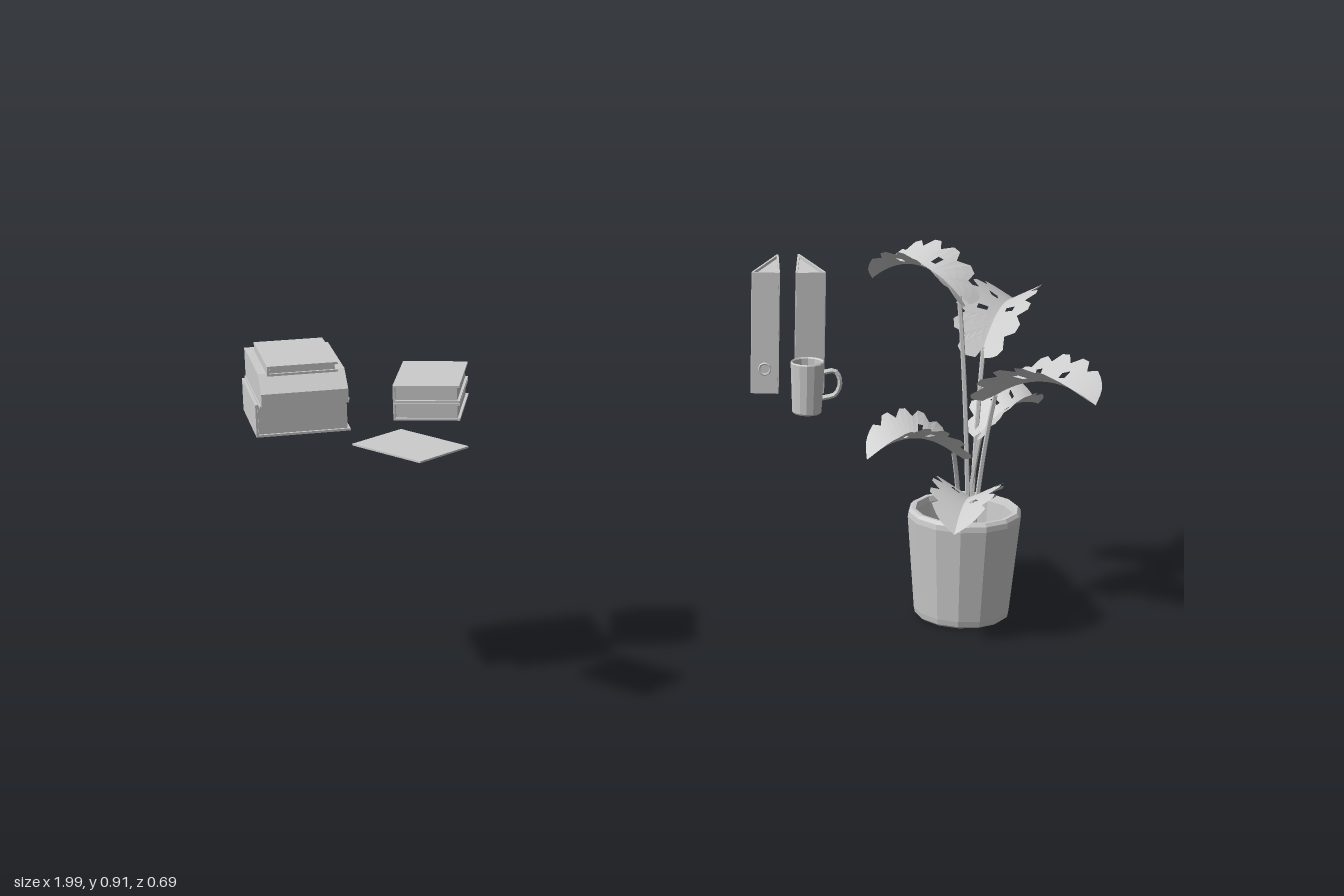
import * as THREE from 'three';

const V = (x, y, z) => new THREE.Vector3(x, y, z);
const grey = new THREE.MeshStandardMaterial({ color: 0xcccccc, flatShading: true });
const thin = new THREE.MeshStandardMaterial({ color: 0xcccccc, flatShading: true, side: THREE.DoubleSide });

function add(parent, name, geometry, pos = [0, 0, 0], material = grey) {
  const m = new THREE.Mesh(geometry, material);
  m.name = name;
  m.position.set(...pos);
  parent.add(m);
  return m;
}

function group(parent, name, pos = [0, 0, 0], turn = 0) {
  const g = new THREE.Group();
  g.name = name;
  g.position.set(...pos);
  g.rotation.y = turn;
  parent.add(g);
  return g;
}

const box = (parent, name, w, h, d, pos) => add(parent, name, new THREE.BoxGeometry(w, h, d), pos);

// Split leaf: folded along an arched midrib, slits in both sides and a few holes
function leafGeometry(base, tip, arch, halfWidth) {
  const rows = 24, cols = 4;
  const outline = new THREE.SplineCurve([
    [-0.1, 0.12], [-0.12, 0.55], [0.06, 0.9], [0.3, 1], [0.55, 0.97],
    [0.78, 0.85], [0.94, 0.5], [1, 0],
  ].map(p => new THREE.Vector2(...p)));
  const ctrl = base.clone().add(tip).multiplyScalar(0.5);
  ctrl.y += arch;
  const side = V(tip.z - base.z, 0, base.x - tip.x).normalize();
  const place = (s, v) => {
    const p = base.clone().multiplyScalar((1 - s) ** 2)
      .addScaledVector(ctrl, 2 * s * (1 - s)).addScaledVector(tip, s * s);
    p.addScaledVector(side, v * halfWidth * 0.92);
    p.y += Math.abs(v) * halfWidth * 0.5;
    return p;
  };
  const positions = [], index = [];
  for (const sign of [-1, 1]) {
    const first = positions.length / 3;
    for (let r = 0; r <= rows; r++) {
      const t = r / rows, e = outline.getPoint(t);
      const slit = r > 3 && r < 18 && r % 3 === 2 ? 0.74 : 1;
      for (let c = 0; c <= cols; c++) {
        const u = c / cols * slit;
        positions.push(...place(t + (e.x - t) * u, sign * e.y * u).toArray());
      }
    }
    for (let r = 0; r < rows; r++) for (let c = 0; c < cols; c++) {
      if (c === 1 && (r === 9 || (sign > 0 && r === 14))) continue;
      const a = first + r * (cols + 1) + c, b = a + cols + 1;
      if (sign > 0) index.push(a, a + 1, b, a + 1, b + 1, b);
      else index.push(a, b, a + 1, a + 1, b, b + 1);
    }
  }
  const g = new THREE.BufferGeometry();
  g.setAttribute('position', new THREE.Float32BufferAttribute(positions, 3));
  g.setIndex(index);
  g.computeVertexNormals();
  return g;
}

function pottedPlant(parent) {
  const cx = 0.72, cz = -0.04;
  const plant = group(parent, 'pottedPlant');
  const profile = [[0, 0], [0.108, 0], [0.116, 0.006], [0.119, 0.02], [0.14, 0.255], [0.138, 0.268],
    [0.131, 0.276], [0.121, 0.275], [0.116, 0.262], [0.111, 0.2]];
  add(plant, 'pot', new THREE.LatheGeometry(profile.map(p => new THREE.Vector2(...p)), 14), [cx, 0, cz], thin);
  add(plant, 'soil', new THREE.CylinderGeometry(0.111, 0.111, 0.01, 14), [cx, 0.197, cz]);

  // base, tip, arch, half width, stem foot
  const leaves = [
    [V(0.7, 0.8, -0.07), V(0.55, 0.81, -0.265), 0.11, 0.095, V(0.725, 0.2, -0.025)],
    [V(0.78, 0.66, -0.1), V(0.965, 0.71, -0.33), 0.09, 0.1, V(0.74, 0.2, -0.05)],
    [V(0.76, 0.575, 0.03), V(0.9, 0.61, 0.29), 0.09, 0.1, V(0.735, 0.2, -0.02)],
    [V(0.67, 0.43, 0), V(0.45, 0.43, -0.005), 0.09, 0.1, V(0.71, 0.2, -0.04)],
    [V(0.76, 0.46, -0.05), V(0.91, 0.52, -0.055), 0.06, 0.1, V(0.735, 0.2, -0.065)],
    [V(0.715, 0.315, 0.03), V(0.6, 0.29, 0.19), 0.08, 0.09, V(0.715, 0.2, -0.01)],
  ];
  for (const [base, tip, arch, halfWidth, foot] of leaves) {
    add(plant, 'leaf', leafGeometry(base, tip, arch, halfWidth), [0, 0, 0], thin);
    const bend = foot.clone().lerp(base, 0.35);
    bend.y = foot.y + (base.y - foot.y) * 0.6;
    const curve = new THREE.QuadraticBezierCurve3(foot, bend, base);
    add(plant, 'stem', new THREE.TubeGeometry(curve, 8, 0.006, 5), [0, 0, 0], thin);
  }
}

// Closed book lying flat: two covers, a spine and inset pages
function book(parent, w, h, d, pos, turn = 0) {
  const g = group(parent, 'book', pos, turn), c = 0.005;
  box(g, 'bottomCover', w, c, d, [0, c / 2, 0]);
  box(g, 'topCover', w, c, d, [0, h - c / 2, 0]);
  box(g, 'spine', c, h - 2 * c, d, [-w / 2 + c / 2, h / 2, 0]);
  box(g, 'pages', w - 0.012, h - 2 * c, d - 0.012, [0, h / 2, 0]);
}

// Lying file box with a sloping front
function slopedFile(parent, pos) {
  const s = new THREE.Shape([[0.15, 0], [0.15, 0.065], [-0.09, 0.065], [-0.135, 0.03], [-0.135, 0]]
    .map(p => new THREE.Vector2(...p)));
  const geo = new THREE.ExtrudeGeometry(s, { depth: 0.19, bevelEnabled: false });
  geo.translate(0, 0, -0.095).rotateY(Math.PI / 2);
  add(parent, 'slopedFile', geo, pos);
}

// Standing binder, wedge-shaped in plan: spine from a to b, closing at point c (x, z)
function binder(parent, a, b, c) {
  const g = group(parent, 'binder'), bottom = 0.595, h = 0.293;
  const panel = (name, p, q) => {
    const dx = q[0] - p[0], dz = q[1] - p[1];
    const m = box(g, name, Math.hypot(dx, dz), h, 0.005, [(p[0] + q[0]) / 2, bottom + h / 2, (p[1] + q[1]) / 2]);
    m.rotation.y = -Math.atan2(dz, dx);
    return m;
  };
  const spine = panel('spine', a, b);
  panel('cover', a, c);
  panel('cover', b, c);
  const ring = add(spine, 'fingerRing', new THREE.TorusGeometry(0.013, 0.003, 5, 12), [0, 0.06 - h / 2, 0.003]);
  ring.rotation.z = Math.PI / 12;
  const wedge = new THREE.Shape([a, b, c].map(p => new THREE.Vector2(p[0], -p[1])));
  const pages = new THREE.ExtrudeGeometry(wedge, { depth: h - 0.014, bevelEnabled: false });
  add(g, 'pages', pages.rotateX(-Math.PI / 2), [0, bottom + 0.007, 0]);
}

function mug(parent) {
  const g = group(parent, 'mug', [0.225, 0.623, 0.205], -0.35);
  const profile = [[0, 0], [0.031, 0], [0.034, 0.004], [0.039, 0.118], [0.037, 0.121], [0.034, 0.118],
    [0.03, 0.008], [0, 0.008]];
  add(g, 'cup', new THREE.LatheGeometry(profile.map(p => new THREE.Vector2(...p)), 14), [0, 0, 0], thin);
  const curve = new THREE.CatmullRomCurve3([V(0.035, 0.095, 0), V(0.062, 0.099, 0), V(0.074, 0.075, 0),
    V(0.064, 0.045, 0), V(0.033, 0.035, 0)]);
  add(g, 'handle', new THREE.TubeGeometry(curve, 12, 0.006, 6), [0, 0, 0], thin);
}

export function createModel() {
  const model = new THREE.Group();
  model.name = 'shelfDecor';
  pottedPlant(model);

  // Tall stack
  const stack = group(model, 'tallStack');
  book(stack, 0.208, 0.074, 0.235, [-0.896, 0.623, -0.058]);
  box(stack, 'sheet', 0.195, 0.006, 0.27, [-0.896, 0.699, -0.045]);
  slopedFile(stack, [-0.896, 0.702, -0.03]);
  book(stack, 0.155, 0.022, 0.225, [-0.895, 0.764, -0.037]);

  // Low stack and loose notebook
  const low = group(model, 'lowStack');
  for (const y of [0.623, 0.664]) book(low, 0.15, 0.04, 0.215, [-0.585, y, -0.073], -0.29);
  const note = box(model, 'notebook', 0.148, 0.004, 0.208, [-0.688, 0.625, 0.22]);
  note.rotation.y = 0.6;

  binder(model, [0.185, -0.085], [0.243, -0.063], [0.3, -0.248]);
  binder(model, [0.282, -0.05], [0.348, -0.037], [0.35, -0.238]);
  mug(model);
  return model;
}
